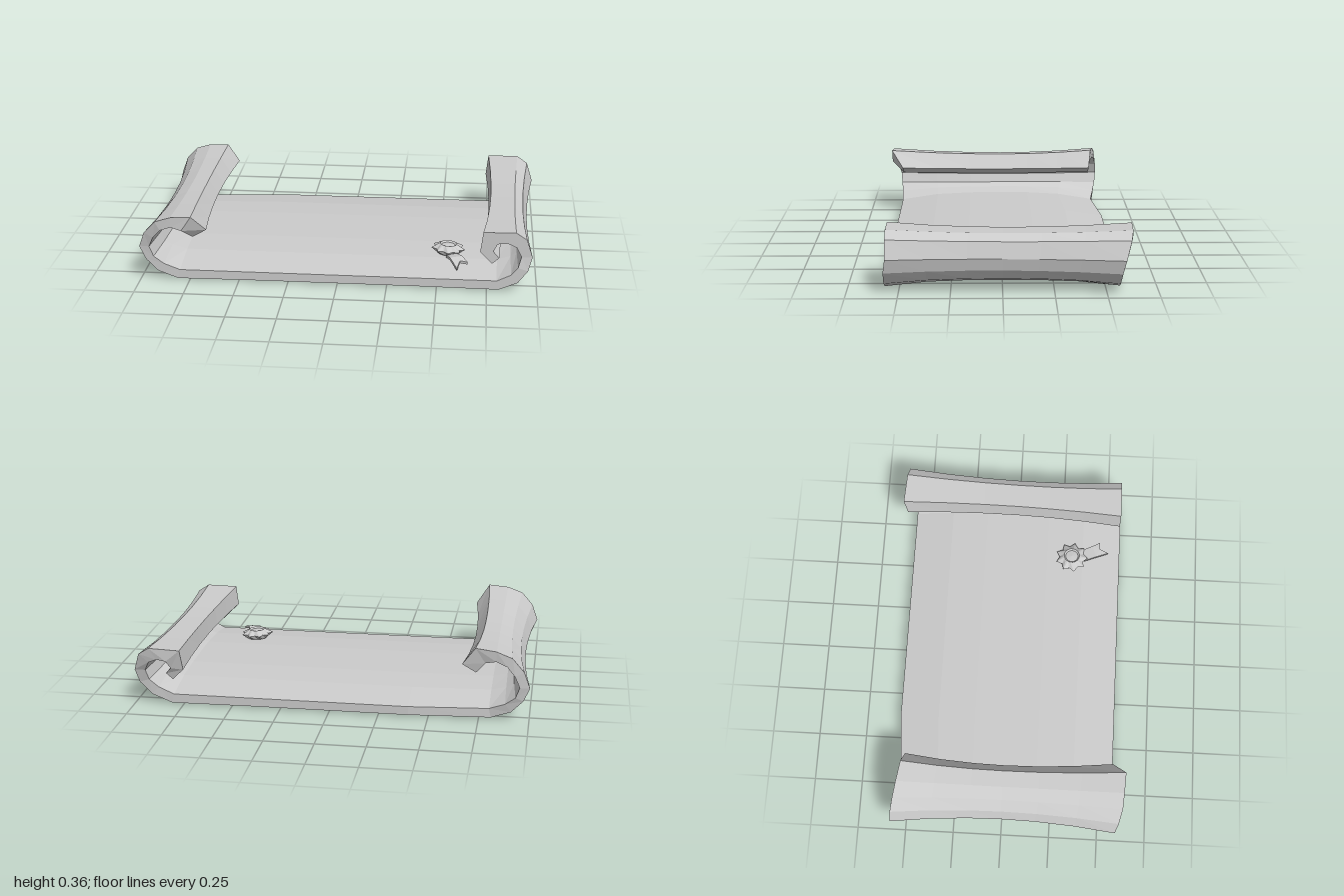
import * as THREE from 'three';

const material = new THREE.MeshStandardMaterial({ color: 0xcccccc, flatShading: true, side: THREE.DoubleSide });

// Sheet cross-section from the tip of each curl to its foot:
// outer x, y, inner x, y, then the z shift of the back and front ends
const rightCurl = [
  [0.785, 0.14, 0.82, 0.17, -0.02, -0.01], [0.725, 0.2, 0.79, 0.205, -0.04, -0.01],
  [0.738, 0.305, 0.81, 0.245, -0.058, -0.01], [0.9, 0.308, 0.86, 0.25, -0.05, -0.01],
  [0.955, 0.272, 0.905, 0.23, -0.04, -0.01], [0.985, 0.18, 0.93, 0.18, -0.015, -0.01],
  [0.965, 0.11, 0.915, 0.125, 0, 0], [0.91, 0.045, 0.875, 0.085, 0.005, 0],
  [0.81, 0.005, 0.8, 0.052, 0, 0],
];
const leftCurl = [
  [-0.66, 0.27, -0.73, 0.23, 0.058, -0.01], [-0.725, 0.36, -0.775, 0.285, 0.045, 0.055],
  [-0.83, 0.352, -0.83, 0.3, 0.028, 0.05], [-0.91, 0.325, -0.885, 0.28, 0.015, 0.045],
  [-0.97, 0.26, -0.925, 0.235, 0.003, 0.03], [-1, 0.18, -0.95, 0.18, 0, 0.015],
  [-0.97, 0.11, -0.93, 0.125, 0.005, 0.01], [-0.91, 0.045, -0.88, 0.085, 0.018, 0.005],
  [-0.81, 0.005, -0.8, 0.052, 0.035, 0],
];

// Each step: the pair of points with its shifts, its side (-1, 0, 1) and curl weight
const wind = (curl, side) => curl.map((pair, k) => ({ pair, side, w: Math.min(1, 4 - 4 * k / (curl.length - 1)) }));
const flat = [-0.4, 0, 0.4].map((x) => ({ pair: [x, 0.008, x, 0.052, 0, 0], side: 0, w: 0 }));
const steps = [...wind(leftCurl, -1), ...flat, ...wind(rightCurl, 1).reverse()];

// Place a section point at t (-1 back, 1 front): waisted curls, skewed ends, sheet thinner at its edges
function place({ pair, side, w }, t, inner) {
  const [x, y] = inner ? pair.slice(2, 4) : pair;
  const cx = side < 0 ? -0.81 : side * 0.85, cy = 0.18;
  const waist = (1 - t * t) * w;
  const rise = inner ? 0.042 : side ? 0.03 : -0.008;
  const lift = rise * (1 - Math.abs(t) ** 3) * (1 - w);
  const drift = side > 0 ? -0.012 * t * w : 0;
  const shift = t < 0 ? pair[4] : pair[5];
  return [
    cx + (x - cx) * (1 - 0.22 * waist) + drift,
    cy + (y - cy) * (1 - 0.14 * waist) + lift,
    0.57 * t + shift * Math.abs(t),
  ];
}

function sheetGeometry() {
  const stations = [-1, -0.64, -0.3, 0, 0.3, 0.64, 1];
  const n = steps.length, ring = 2 * n;
  const positions = [], index = [];
  const quad = (a, b, c, d) => index.push(a, b, c, a, c, d);
  for (const t of stations) {
    for (const s of steps) positions.push(...place(s, t, false));
    for (const s of [...steps].reverse()) positions.push(...place(s, t, true));
  }
  for (let j = 0; j < stations.length - 1; j++) {
    for (let i = 0; i < ring; i++) {
      const a = j * ring + i, b = j * ring + (i + 1) % ring;
      quad(a, b, b + ring, a + ring);
    }
  }
  // Edge strips at the back and the front
  const front = (stations.length - 1) * ring;
  for (let k = 0; k < n - 1; k++) {
    const inner = ring - 1 - k;
    quad(front + k, front + k + 1, front + inner - 1, front + inner);
    quad(k, inner, inner - 1, k + 1);
  }
  const geometry = new THREE.BufferGeometry();
  geometry.setAttribute('position', new THREE.Float32BufferAttribute(positions, 3));
  geometry.setIndex(index);
  const result = geometry.toNonIndexed();
  result.computeVertexNormals();
  return result;
}

// Star-edged rosette: a low lathe whose rim alternates in and out
function rosetteGeometry() {
  const points = 9;
  const profile = [[0, 0], [0.055, 0], [0.088, 0.025], [0.042, 0.048], [0.034, 0.04], [0, 0.044]];
  const geometry = new THREE.LatheGeometry(profile.map(([r, y]) => new THREE.Vector2(r, y)), points * 2);
  const p = geometry.attributes.position;
  for (let i = 0; i < p.count; i++) {
    const spoke = Math.floor(i / profile.length);
    if (i % profile.length === 2 && spoke % 2) {
      p.setX(i, p.getX(i) * 0.76);
      p.setZ(i, p.getZ(i) * 0.76);
    }
  }
  geometry.computeVertexNormals();
  return geometry;
}

// Ribbon tail with a notched end, bent over its length
function ribbonGeometry() {
  const shape = new THREE.Shape([
    [-0.03, 0], [0.03, 0], [0.034, -0.065], [0.046, -0.115], [0.01, -0.1], [-0.02, -0.142], [-0.032, -0.065],
  ].map(([x, y]) => new THREE.Vector2(x, y)));
  const geometry = new THREE.ExtrudeGeometry(shape, { depth: 0.014, bevelEnabled: false });
  geometry.rotateX(-Math.PI / 2);
  const p = geometry.attributes.position;
  for (let i = 0; i < p.count; i++) p.setY(i, p.getY(i) + 0.018 * Math.sin(p.getZ(i) * 24));
  geometry.computeVertexNormals();
  return geometry;
}

export function createModel() {
  const group = new THREE.Group();
  const add = (name, geometry, x = 0, y = 0, z = 0) => {
    const mesh = new THREE.Mesh(geometry, material);
    mesh.name = name;
    mesh.position.set(x, y, z);
    group.add(mesh);
    return mesh;
  };

  add('scrollSheet', sheetGeometry());

  // Seal with its ribbon
  add('sealRosette', rosetteGeometry(), 0.55, 0.09, 0.305).rotation.z = -0.05;
  const ribbon = add('sealRibbon', ribbonGeometry(), 0.57, 0.09, 0.365);
  ribbon.rotation.set(0.1, 0.35, 0);
  return group;
}
